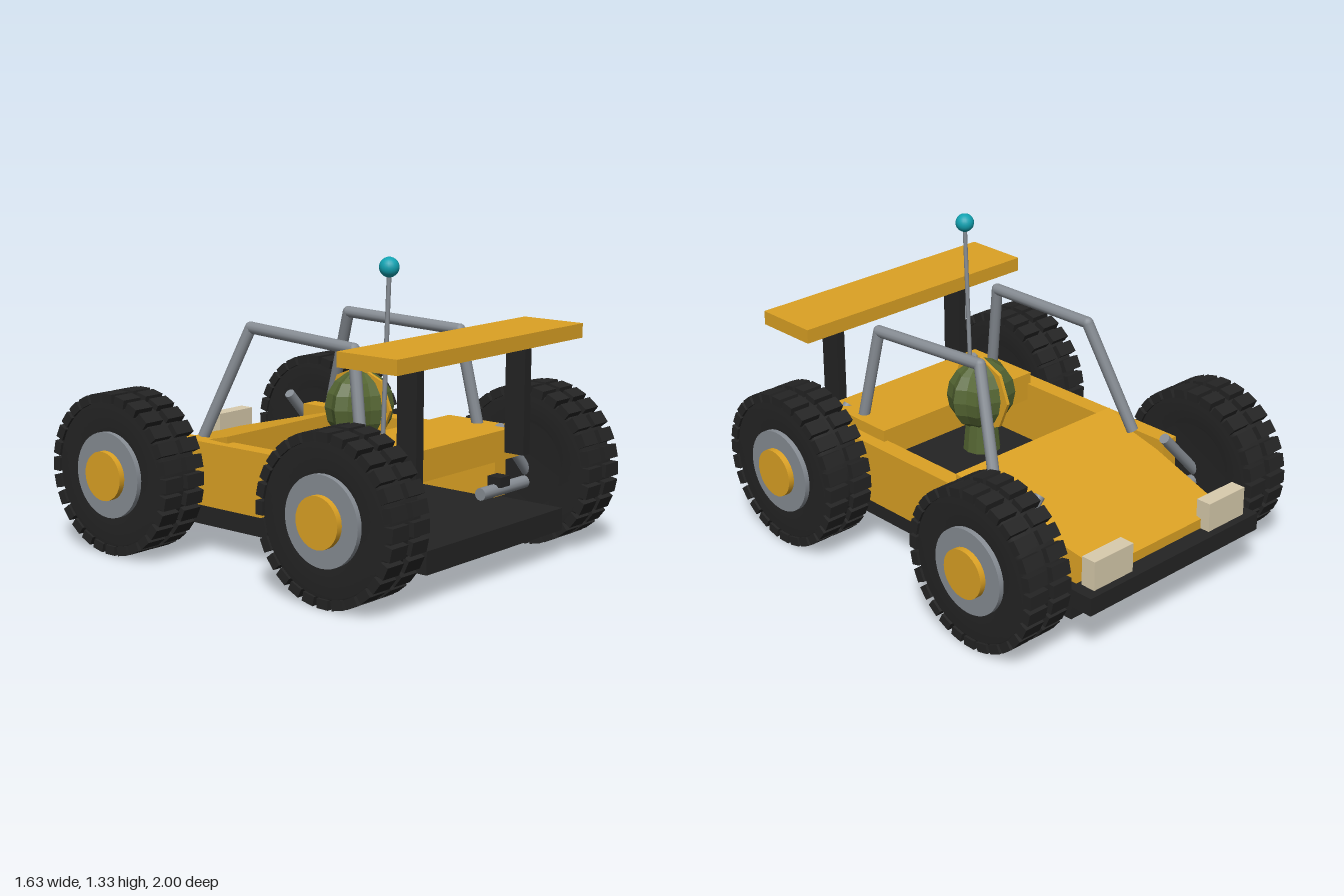
import * as THREE from 'three';

const mat = (name, color, extra = {}) => {
  const m = new THREE.MeshStandardMaterial({ color, ...extra });
  m.name = name;
  return m;
};

export function createModel() {
  const yellow = mat('yellow paint', 0xdca224);
  const black = mat('black rubber', 0x242424);
  const grey = mat('grey metal', 0x878d94);
  const green = mat('olive green', 0x556633, { flatShading: true });
  const cream = mat('cream lamp', 0xd9ccad);
  const teal = mat('teal ball', 0x12a3b2);

  const model = new THREE.Group();
  model.name = 'buggy';

  const add = (name, geo, material, x = 0, y = 0, z = 0, parent = model) => {
    const m = new THREE.Mesh(geo, material);
    m.name = name;
    m.position.set(x, y, z);
    parent.add(m);
    return m;
  };
  // Box given by its extents on each axis
  const box = (name, material, [x0, x1], [y0, y1], [z0, z1]) =>
    add(name, new THREE.BoxGeometry(x1 - x0, y1 - y0, z1 - z0), material,
      (x0 + x1) / 2, (y0 + y1) / 2, (z0 + z1) / 2);
  // Round bar between two points
  const bar = (name, a, b, r, material = grey) => {
    const p = new THREE.Vector3(...a), q = new THREE.Vector3(...b);
    const m = add(name, new THREE.CylinderGeometry(r, r, p.distanceTo(q), 12), material);
    m.position.copy(p).add(q).multiplyScalar(0.5);
    m.quaternion.setFromUnitVectors(new THREE.Vector3(0, 1, 0), q.sub(p).normalize());
    return m;
  };

  // Chassis and bumper
  box('chassis', black, [-0.47, 0.47], [0.122, 0.22], [-0.85, 0.92]);
  box('bumper', black, [-0.515, 0.515], [0.22, 0.3], [-1, -0.875]);

  // Hood: tapered wedge, low and narrow at the nose
  const hoodGeo = new THREE.BoxGeometry(2, 2, 2);
  const hp = hoodGeo.attributes.position;
  for (let i = 0; i < hp.count; i++) {
    const nose = hp.getZ(i) < 0, top = hp.getY(i) > 0;
    hp.setXYZ(i, hp.getX(i) * (nose ? 0.38 : 0.468),
      top ? (nose ? 0.345 : 0.53) : (nose ? 0.222 : 0.32), nose ? -0.92 : -0.165);
  }
  hoodGeo.computeVertexNormals();
  add('hood', hoodGeo, yellow);

  // Rear deck and wing
  box('rearDeck', yellow, [-0.45, 0.45], [0.42, 0.552], [0.32, 0.7]);
  box('wing', yellow, [-0.632, 0.632], [0.937, 1], [0.592, 0.895]);

  // Driver: torso, fluted head and crest
  add('driverTorso', new THREE.CylinderGeometry(0.07, 0.085, 0.165, 12), green, 0, 0.4575, 0.175);
  const headGeo = new THREE.SphereGeometry(1, 16, 8);
  const gp = headGeo.attributes.position;
  for (let i = 0; i < gp.count; i++) {
    const k = (i % 17) % 2 ? 0.87 : 1;
    gp.setXYZ(i, gp.getX(i) * k * 0.167, gp.getY(i) * 0.16, gp.getZ(i) * k * 0.137);
  }
  add('driverHead', headGeo, green, 0, 0.64, 0.178);
  const crest = add('driverCrest', new THREE.CylinderGeometry(0.175, 0.175, 0.016, 8).toNonIndexed(),
    yellow, 0, 0.64, 0.178);
  crest.geometry.computeVertexNormals();
  crest.rotation.z = Math.PI / 2;

  // Antenna
  bar('antennaRod', [-0.235, 0.54, 0.5], [-0.235, 1.27, 0.53], 0.01);
  add('antennaBall', new THREE.SphereGeometry(0.042, 20, 14), teal, -0.235, 1.29, 0.53);

  // Wheel parts, axis along x, outer face towards +x
  const tyreGeo = new THREE.LatheGeometry([
    [0.001, -0.09], [0.19, -0.09], [0.2, -0.1], [0.31, -0.105], [0.328, -0.09],
    [0.328, 0.09], [0.31, 0.105], [0.2, 0.1], [0.18, 0.095],
  ].map(([r, h]) => new THREE.Vector2(r, h)), 40);
  const lugGeo = new THREE.BoxGeometry(0.098, 0.04, 0.058);
  const lugs = 28;

  const wheel = (name, side, z) => {
    const g = new THREE.Group();
    g.name = name;
    g.position.set(side * 0.667, 0.355, z);
    if (side < 0) g.rotation.y = Math.PI;
    model.add(g);
    const disc = (n, geo, m, x) => { add(n, geo, m, x, 0, 0, g).rotation.z = -Math.PI / 2; };
    disc('tyre', tyreGeo, black, 0);
    disc('rim', new THREE.CylinderGeometry(0.188, 0.188, 0.05, 40), grey, 0.095);
    disc('hubCap', new THREE.CylinderGeometry(0.108, 0.108, 0.04, 32), yellow, 0.127);
    // Two rows of tread lugs
    for (const row of [-1, 1]) {
      for (let i = 0; i < lugs; i++) {
        const a = (i / lugs) * Math.PI * 2;
        const lug = add('treadLug', lugGeo, black,
          row * 0.064, Math.cos(a) * 0.334, Math.sin(a) * 0.334, g);
        lug.rotation.x = a;
      }
    }
  };

  for (const s of [-1, 1]) {
    const side = s > 0 ? 'left' : 'right';
    const span = (a, b) => (s > 0 ? [a, b] : [-b, -a]);

    box(side + 'SidePod', yellow, span(0.43, 0.51), [0.22, 0.5], [-0.53, 0.59]);
    box(side + 'Headlight', cream, span(0.235, 0.46), [0.3, 0.43], [-0.965, -0.895]);
    box(side + 'WingPost', black, span(0.345, 0.39), [0.452, 0.94], [0.7, 0.8]);
    box(side + 'AxleMount', black, span(0.35, 0.42), [0.29, 0.335], [0.61, 0.68]);

    // Roll cage
    const cage = [[0.395, 0.52, 0.525], [0.355, 0.96, 0.445], [0.322, 0.985, -0.16], [0.418, 0.5, -0.355]]
      .map(([x, y, z]) => [s * x, y, z]);
    for (let i = 0; i < 3; i++) bar(side + 'RollBar', cage[i], cage[i + 1], 0.026);
    for (const p of cage.slice(1, 3)) add(side + 'RollBarJoint', new THREE.SphereGeometry(0.026, 12, 8), grey, ...p);

    // Wheels, axles and shock struts
    for (const [end, z] of [['Rear', 0.645], ['Front', -0.575]]) {
      wheel(side + end + 'Wheel', s, z);
      bar(side + end + 'Axle', [s * 0.25, 0.275, z], [s * 0.6, 0.275, z], 0.028);
      bar(side + end + 'Strut', [s * 0.38, 0.55, z], [s * 0.6, 0.315, z], 0.024);
    }
  }
  return model;
}
